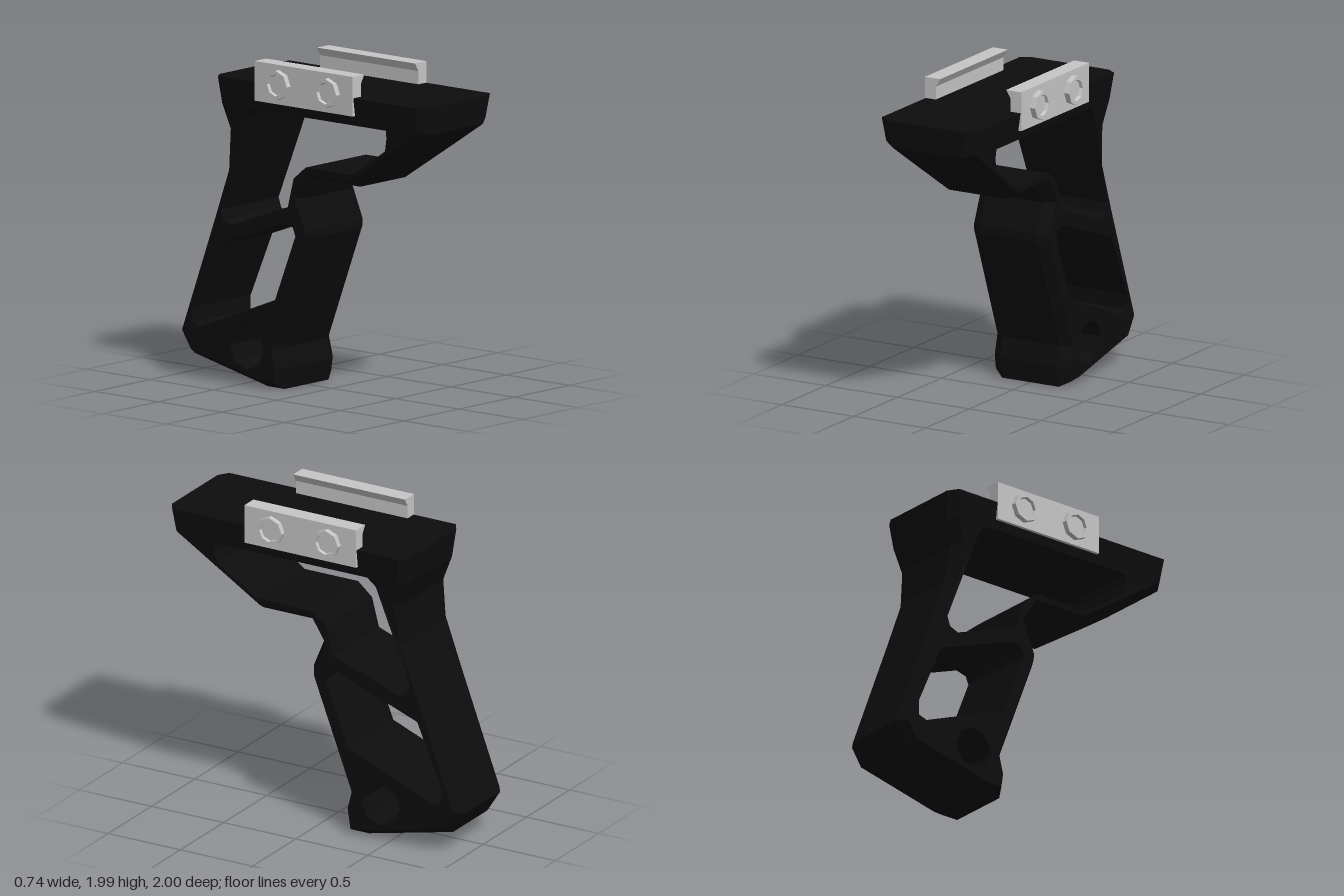
import * as THREE from 'three';

const { ShapeUtils, Vector2 } = THREE;
const BEVEL = 0.042, BEVEL_X = 0.065, TOP = 1.86;

// Side profiles as [z, y]
const OUTLINE = [[1, TOP], [0.98, 1.69], [0.79, 1.56], [0.4, 1.3], [0.05, 1.3], [-0.02, 1.18], [0.055, 1.0],
  [0.055, 0.95], [-0.21, 0.25], [-0.18, 0.13], [-0.2, 0], [-0.33, 0], [-0.91, 0.13], [-1, 0.27],
  [-0.73, 1.0], [-0.62, 1.3], [-0.59, 1.54], [-0.64, 1.69], [-0.655, TOP]];
const UPPER_HOLE = [[0.69, 1.69], [0.69, 1.64], [0.67, 1.56], [0.4, 1.38], [0.03, 1.38], [-0.07, 1.3],
  [-0.12, 1.12], [-0.57, 0.955], [-0.63, 0.98], [-0.65, 1.04], [-0.435, 1.64], [-0.38, 1.69]];
const LOWER_HOLE = [[-0.06, 0.95], [-0.08, 1.0], [-0.15, 1.02], [-0.7, 0.815], [-0.87, 0.42],
  [-0.87, 0.33], [-0.81, 0.31], [-0.22, 0.545]];
const ROUND_HOLE = Array.from({ length: 8 }, (_, i) => {
  const a = i * Math.PI / 4;
  return [-0.445 + 0.135 * Math.cos(a), 0.23 + 0.135 * Math.sin(a)];
});

// Half width of the grip, flaring towards the top
const halfWidth = (y) => 0.263 + 0.067 * Math.pow(Math.max(0, (y - 1.2) / 0.66), 1.5);

function loop(points, clockwise) {
  const v = points.map(([z, y]) => new Vector2(z, y));
  return ShapeUtils.isClockWise(v) === clockwise ? v : v.reverse();
}

// Shrinks a counter-clockwise loop, leaving the flat top edge in place
function inset(pts) {
  const n = pts.length;
  const edges = pts.map((p, i) => {
    const q = pts[(i + 1) % n];
    const d = q.clone().sub(p).normalize();
    return { x: -d.y, y: d.x, d: p.y === TOP && q.y === TOP ? 0 : BEVEL };
  });
  return pts.map((p, i) => {
    const a = edges[(i + n - 1) % n], b = edges[i];
    const det = a.x * b.y - a.y * b.x;
    return new Vector2(p.x + (a.d * b.y - b.d * a.y) / det, p.y + (a.x * b.d - b.x * a.d) / det);
  });
}

// Frame with chamfered outer edges and straight-walled openings
function gripGeometry() {
  const pos = [];
  const add = (...corners) => corners.forEach((c) => pos.push(...c));
  const outer = loop(OUTLINE, false);
  const inner = inset(outer);
  const holes = [UPPER_HOLE, LOWER_HOLE, ROUND_HOLE].map((h) => loop(h, true));
  const place = (pts, side, cut = 0) => pts.map((p) => [side * (halfWidth(p.y) - cut), p.y, p.x]);
  const strip = (a, b) => a.forEach((p, i) => {
    const j = (i + 1) % a.length;
    add(p, b[j], a[j], p, b[i], b[j]);
  });

  strip(place(inner, -1), place(outer, -1, BEVEL_X));
  strip(place(outer, -1, BEVEL_X), place(outer, 1, BEVEL_X));
  strip(place(outer, 1, BEVEL_X), place(inner, 1));
  holes.forEach((h) => strip(place(h, -1), place(h, 1)));

  // Side faces
  const all = [inner, ...holes].flat();
  const right = place(all, -1), left = place(all, 1);
  for (const [a, b, c] of ShapeUtils.triangulateShape(inner, holes)) {
    add(right[a], right[b], right[c], left[a], left[c], left[b]);
  }
  const g = new THREE.BufferGeometry();
  g.setAttribute('position', new THREE.Float32BufferAttribute(pos, 3));
  g.computeVertexNormals();
  return g;
}

// Rail clamp with an inward lip along its top
function clampGeometry(side) {
  const profile = [[0.335, 1.75], [0.335, 1.99], [0.23, 1.99], [0.26, 1.94], [0.26, 1.84], [0.295, 1.75]];
  const shape = new THREE.Shape(profile.map(([x, y]) => new Vector2(side * x, y)));
  const g = new THREE.ExtrudeGeometry(shape, { depth: 0.775, bevelEnabled: false });
  return g.translate(0, 0, -0.32);
}

// Eight-sided bolt head with a sunken centre
function boltGeometry() {
  const profile = [[0.09, 0], [0.09, 0.035], [0.066, 0.035], [0.062, 0.015], [0, 0.015]];
  const g = new THREE.LatheGeometry(profile.map(([r, h]) => new Vector2(r, h)), 8).toNonIndexed();
  g.computeVertexNormals();
  return g;
}

export function createModel() {
  const black = new THREE.MeshStandardMaterial({ color: 0x0d0d0d });
  black.name = 'black polymer';
  const grey = new THREE.MeshStandardMaterial({ color: 0xc6c6c6 });
  grey.name = 'light grey metal';

  const model = new THREE.Group();
  model.name = 'foregrip';
  const part = (name, geometry, material) => {
    const mesh = new THREE.Mesh(geometry, material);
    mesh.name = name;
    model.add(mesh);
    return mesh;
  };

  part('gripFrame', gripGeometry(), black);

  // Clamps and bolts on both sides
  const bolt = boltGeometry();
  for (const side of [-1, 1]) {
    const label = side > 0 ? 'left' : 'right';
    part(label + 'RailClamp', clampGeometry(side), grey);
    [0.265, -0.125].forEach((z, i) => {
      const mesh = part(label + (i ? 'Rear' : 'Front') + 'Bolt', bolt, grey);
      mesh.position.set(side * 0.335, 1.87, z);
      mesh.rotation.z = -side * Math.PI / 2;
    });
  }
  return model;
}
